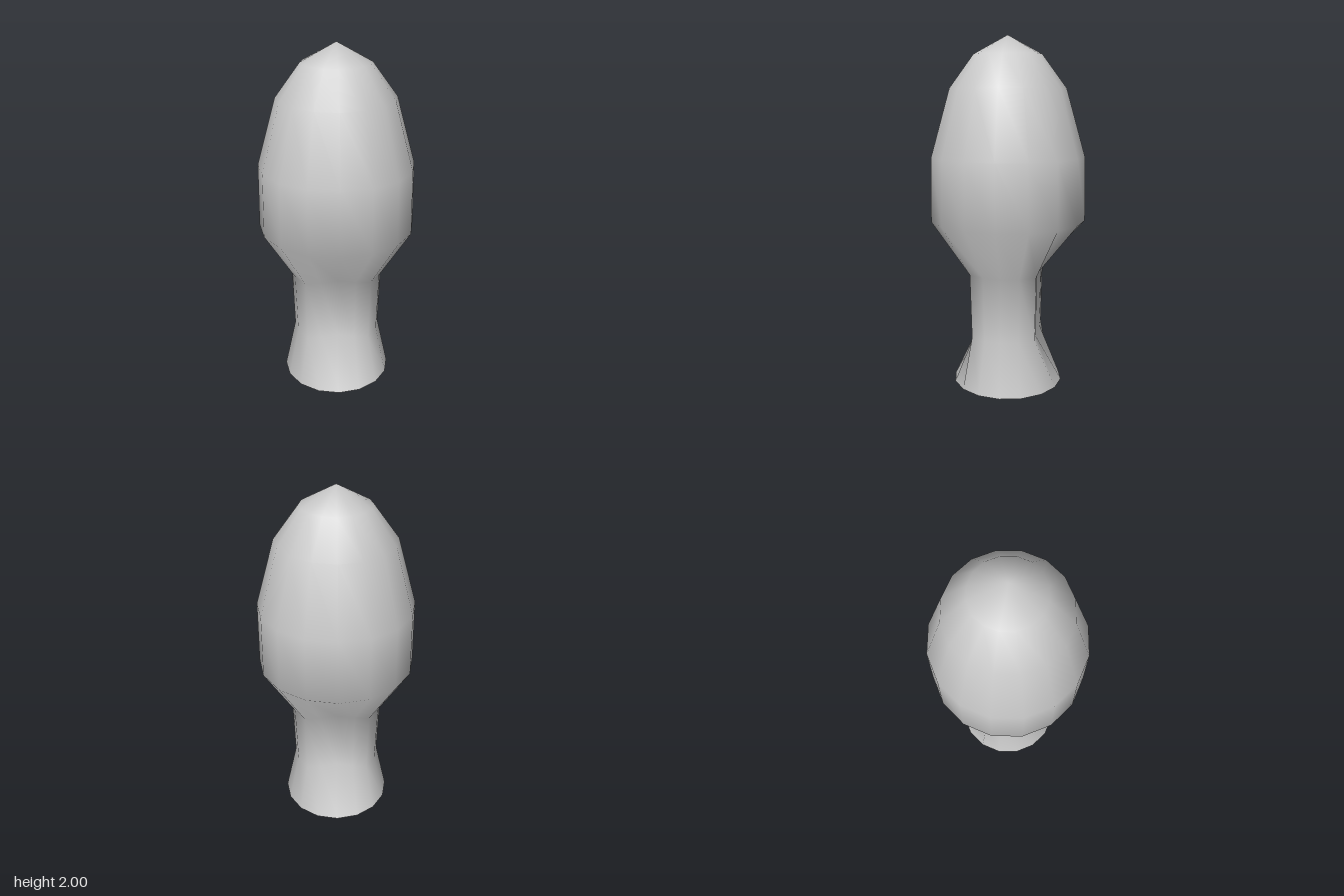
import * as THREE from 'three';
import { mergeVertices } from 'three/addons/utils/BufferGeometryUtils.js';

const SIDES = 16;

export function createModel() {
  const group = new THREE.Group();
  const material = new THREE.MeshStandardMaterial({ color: 0xcccccc });

  // Round profile from foot to tip: radius, height
  const profile = [
    [0.32, 0], [0.255, 0.3], [0.266, 0.675], [0.444, 0.97],
    [0.437, 1.335], [0.33, 1.71], [0.193, 1.895], [0, 2],
  ].map(([r, y]) => new THREE.Vector2(r, y));
  let body = new THREE.LatheGeometry(profile, SIDES);

  // Press shallow hollows into the front and back of the neck
  const p = body.attributes.position;
  for (let i = 0; i < p.count; i++) {
    const y = p.getY(i);
    if (y < 0.2 || y > 0.8) continue;
    const z = p.getZ(i);
    const r = Math.hypot(p.getX(i), z);
    const c = Math.abs(z) / r;
    if (c > 0.99) p.setZ(i, z * 0.62);
    else if (c > 0.9) p.setZ(i, z * 0.755);
  }

  // Weld the seam so the shading runs smoothly all round
  body.deleteAttribute('uv');
  body.deleteAttribute('normal');
  body = mergeVertices(body);
  body.computeVertexNormals();
  const bulb = new THREE.Mesh(body, material);
  bulb.name = 'bulbAndNeck';
  group.add(bulb);

  // Flat underside of the foot
  const base = new THREE.Mesh(new THREE.CircleGeometry(0.32, SIDES), material);
  base.name = 'baseCap';
  base.rotation.x = Math.PI / 2;
  group.add(base);

  return group;
}
